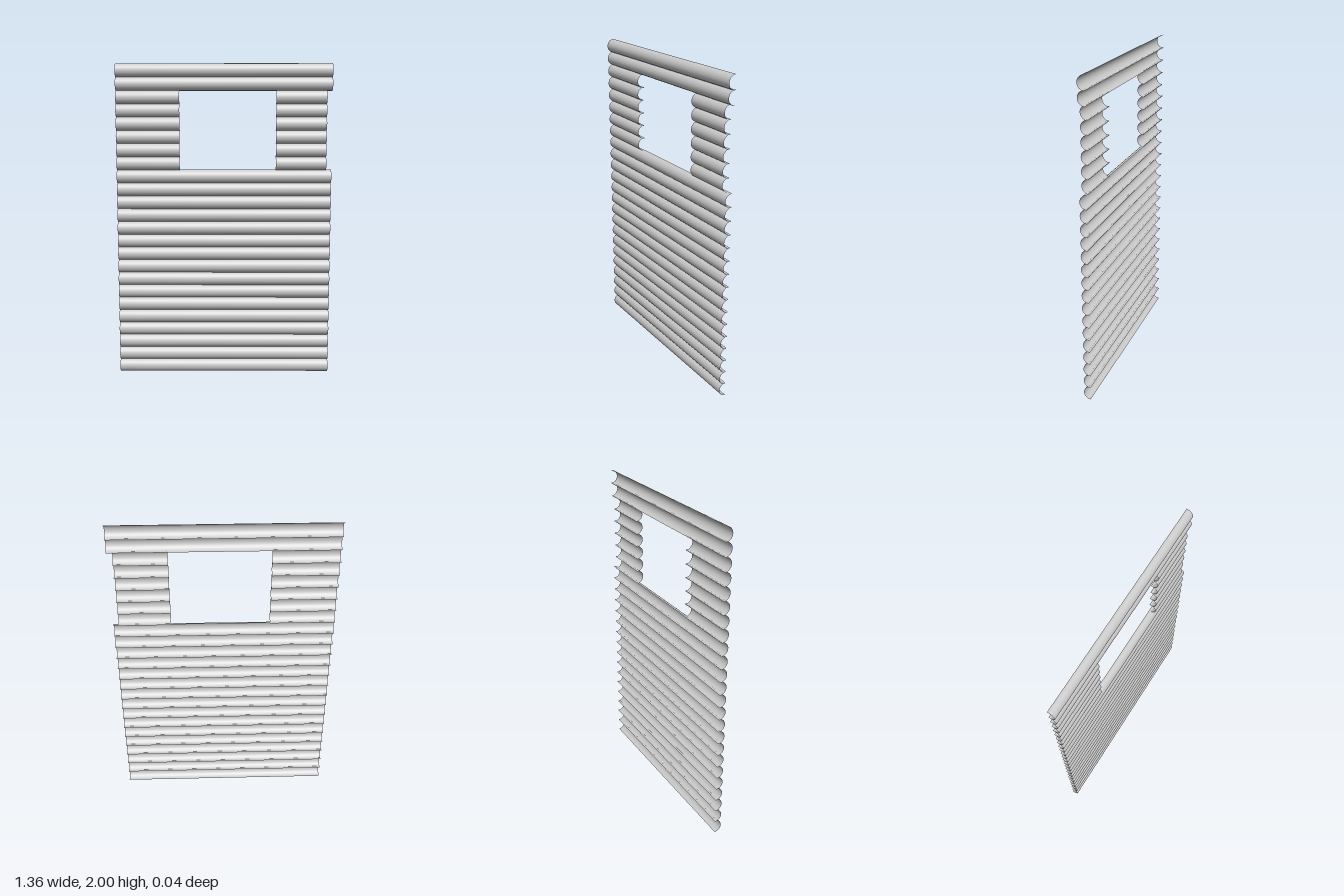
import * as THREE from 'three';

const ROWS = 24;
const RADIUS = 0.0435;
const PITCH = (2 - 2 * RADIUS) / (ROWS - 1);
const HALF_WIDTH = 0.681;

// window opening: rows and side edges
const WINDOW = { firstRow: 16, lastRow: 21, left: -0.28, right: 0.328, outerRight: 0.648 };

const material = new THREE.MeshStandardMaterial({ color: 0xcccccc, side: THREE.DoubleSide });

// half-round log face, open at the back and ends, bulging towards +z
function halfLog(name, row, x0, x1) {
  const geometry = new THREE.CylinderGeometry(
    RADIUS, RADIUS, x1 - x0, 16, 1, true, -Math.PI / 2, Math.PI);
  geometry.rotateZ(Math.PI / 2);
  const log = new THREE.Mesh(geometry, material);
  log.name = name;
  log.position.set((x0 + x1) / 2, RADIUS + row * PITCH, -RADIUS / 2);
  return log;
}

export function createModel() {
  const wall = new THREE.Group();
  wall.name = 'logWall';
  for (let row = 0; row < ROWS; row++) {
    if (row >= WINDOW.firstRow && row <= WINDOW.lastRow) {
      // short logs either side of the window
      wall.add(halfLog('windowLogRight', row, -HALF_WIDTH, WINDOW.left));
      wall.add(halfLog('windowLogLeft', row, WINDOW.right, WINDOW.outerRight));
    } else {
      wall.add(halfLog('fullLog', row, -HALF_WIDTH, HALF_WIDTH));
    }
  }
  return wall;
}
